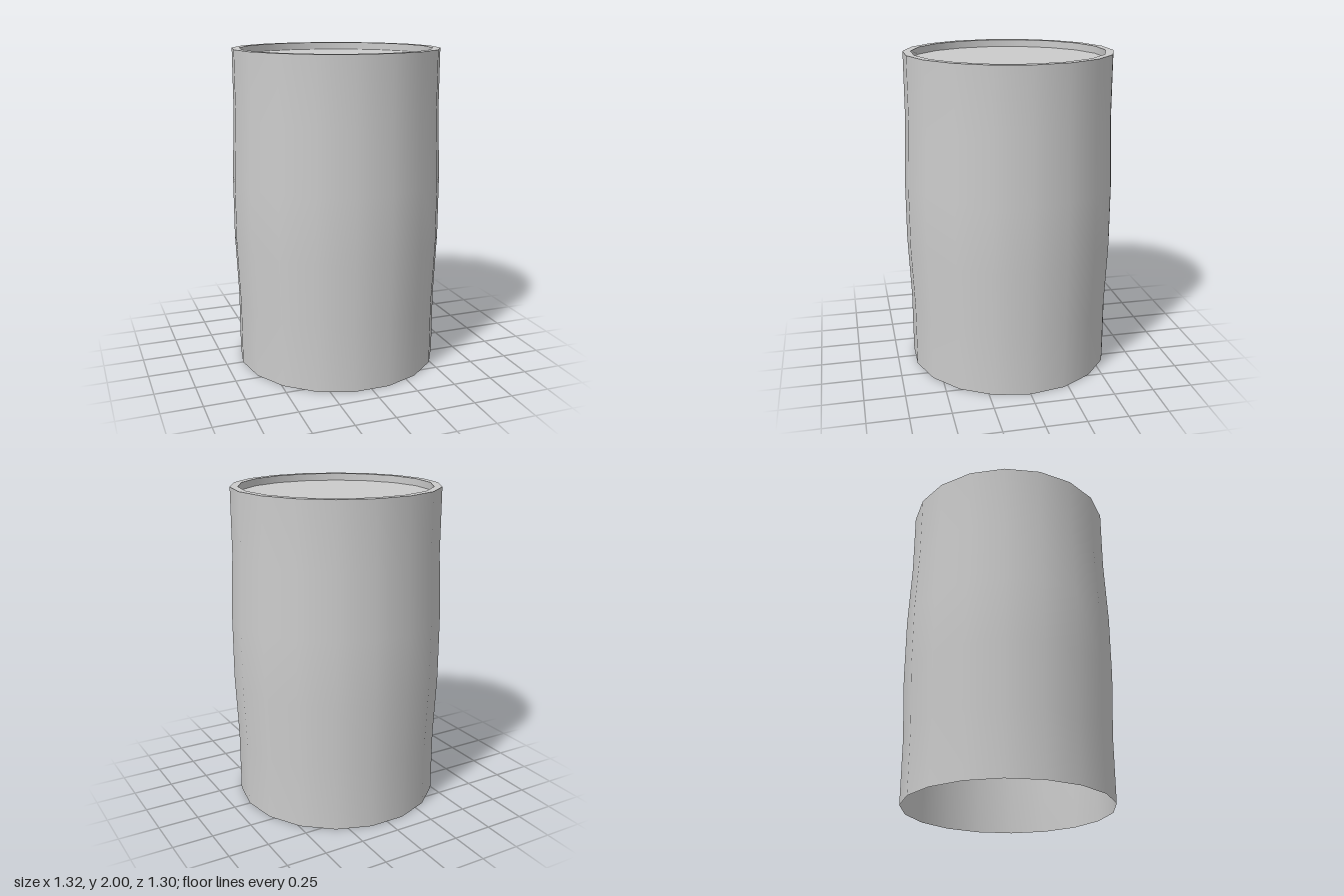
import * as THREE from 'three';

const SIDES = 18;
const R_END = 0.643, R_MID = 0.66, R_INNER = 0.595, LID_Y = 1.955;

export function createModel() {
  const group = new THREE.Group();
  group.name = 'barrel';
  const material = new THREE.MeshStandardMaterial({ color: 0xcccccc, side: THREE.DoubleSide });

  const add = (name, geometry) => {
    const mesh = new THREE.Mesh(geometry, material);
    mesh.name = name;
    group.add(mesh);
    return mesh;
  };
  // Turned surface with a corner on the x axis
  const turned = (name, profile) => add(name, new THREE.LatheGeometry(
    profile.map(([r, y]) => new THREE.Vector2(r, y)), SIDES, Math.PI / 2));

  // Slightly bulging wall, open at the bottom
  turned('wall', [[R_END, 0], [R_END, 0.4], [R_MID, 0.8], [R_MID, 1.2], [R_END, 1.6], [R_END, 2]]);

  // Flat rim and the short step down to the lid
  turned('rim', [[R_END, 2], [R_INNER, 2]]);
  turned('innerLip', [[R_INNER, 2], [R_INNER, LID_Y]]);

  // Recessed lid
  const lid = add('lid', new THREE.CircleGeometry(R_INNER, SIDES).rotateX(-Math.PI / 2));
  lid.position.y = LID_Y;

  return group;
}
